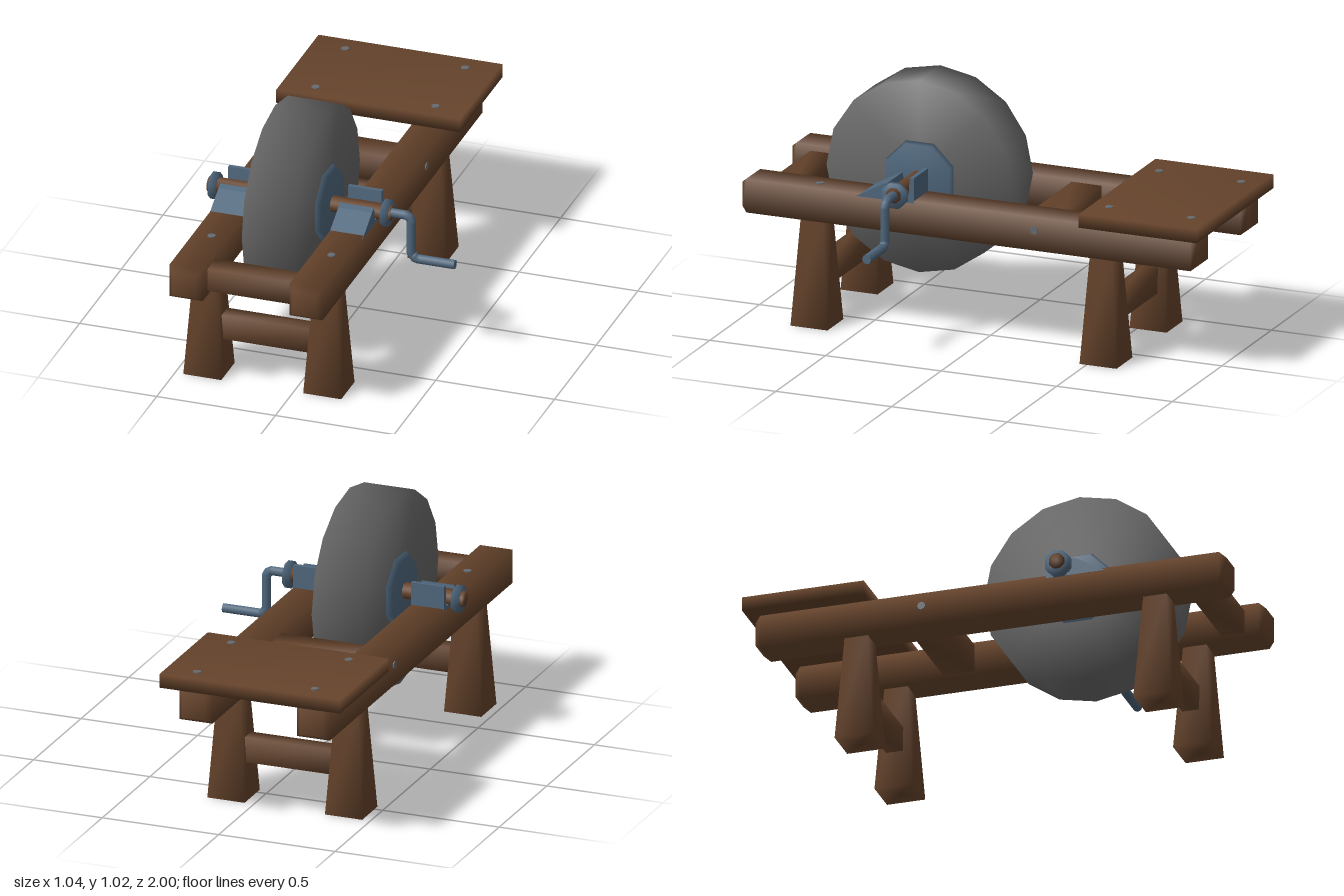
import * as THREE from 'three';
import { mergeVertices } from 'three/addons/utils/BufferGeometryUtils.js';

const mat = (name, color) => {
  const m = new THREE.MeshStandardMaterial({ color });
  m.name = name;
  return m;
};

// Share corner vertices so that shading runs softly over the edges
function soften(geo) {
  geo.deleteAttribute('uv');
  geo.deleteAttribute('normal');
  const g = mergeVertices(geo, 1e-4);
  g.computeVertexNormals();
  return g;
}

export function createModel() {
  const wood = mat('wood', 0x65432b);
  const stone = mat('stone', 0x666666);
  const metal = mat('metal', 0x4e667c);
  const steel = mat('boltSteel', 0x646a70);
  const group = new THREE.Group();

  const add = (name, geo, material, x = 0, y = 0, z = 0) => {
    const mesh = new THREE.Mesh(geo, material);
    mesh.name = name;
    mesh.position.set(x, y, z);
    group.add(mesh);
    return mesh;
  };
  const box = (name, x0, x1, y0, y1, z0, z1) =>
    add(name, soften(new THREE.BoxGeometry(x1 - x0, y1 - y0, z1 - z0)), wood,
      (x0 + x1) / 2, (y0 + y1) / 2, (z0 + z1) / 2);
  // Cylinder lying along x
  const disc = (name, x0, x1, y, z, rLeft, rRight, sides, material, turn = 0) => {
    const g = new THREE.CylinderGeometry(rRight, rLeft, x1 - x0, sides);
    g.rotateY(turn).rotateZ(-Math.PI / 2);
    return add(name, soften(g), material, (x0 + x1) / 2, y, z);
  };

  const railX = [-0.385, 0.12];
  const axleY = 0.616, axleZ = 0.315;

  // Long rails with chamfered ends
  for (const x of railX) {
    const g = new THREE.BoxGeometry(0.14, 0.14, 1.97, 1, 1, 4);
    const p = g.attributes.position;
    for (let i = 0; i < p.count; i++) {
      const z = p.getZ(i);
      if (Math.abs(z) > 0.9) {
        p.setX(i, p.getX(i) * 0.72);
        p.setY(i, p.getY(i) * 0.72);
      } else if (Math.abs(z) > 0.1) p.setZ(i, Math.sign(z) * 0.96);
    }
    add('rail', soften(g), wood, x, 0.515, 0.015);
  }

  // Tapered legs
  for (const x of railX) for (const z of [0.7, -0.55]) {
    const g = new THREE.CylinderGeometry(0.048 * Math.SQRT2, 0.08 * Math.SQRT2, 0.46, 4);
    g.rotateY(Math.PI / 4);
    add('leg', soften(g), wood, x, 0.23, z);
  }

  // Crossbars between rails and between legs
  box('frontCrossbar', -0.33, 0.07, 0.462, 0.56, 0.82, 0.915);
  box('rearCrossbar', -0.33, 0.07, 0.46, 0.575, -0.345, -0.215);
  box('frontStretcher', -0.35, 0.085, 0.155, 0.26, 0.655, 0.725);
  box('rearStretcher', -0.35, 0.085, 0.155, 0.26, -0.585, -0.515);

  // Seat plank
  box('seat', -0.52, 0.255, 0.588, 0.645, -1, -0.49);

  // Grinding wheel, hub flanges and axle
  disc('grindstone', -0.24, -0.023, axleY, 0.32, 0.4, 0.4, 16, stone);
  disc('hubRight', -0.262, -0.235, axleY, axleZ, 0.142, 0.158, 8, metal, Math.PI / 8);
  disc('hubLeft', -0.028, 0, axleY, axleZ, 0.158, 0.148, 8, metal, Math.PI / 8);
  disc('axle', -0.52, 0.25, axleY, axleZ, 0.033, 0.033, 8, wood, Math.PI / 8);
  for (const x of [-0.508, 0.216])
    disc('collar', x, x + 0.029, axleY - 0.003, axleZ, 0.055, 0.055, 8, metal, Math.PI / 8);

  // Bearing blocks: sloped wedge in front, upright plate behind
  const outline = [[0.5, 0.575], [0.385, 0.64], [0.36, 0.65], [0.35, 0.59],
    [0.275, 0.59], [0.268, 0.68], [0.25, 0.68], [0.25, 0.575]];
  const shape = new THREE.Shape(outline.map(([z, y]) => new THREE.Vector2(-z, y)));
  for (const x of railX) {
    const g = new THREE.ExtrudeGeometry(shape, { depth: 0.142, bevelEnabled: false });
    g.rotateY(Math.PI / 2);
    add('bearingBlock', g, metal, x - 0.071, 0, 0);
  }

  // Crank handle
  const bends = [[0.24, 0.617], [0.315, 0.617], [0.332, 0.6], [0.332, 0.45],
    [0.352, 0.43], [0.517, 0.43]].map(([x, y]) => new THREE.Vector3(x, y, 0.315));
  const path = new THREE.CurvePath();
  for (let i = 1; i < bends.length; i++) path.add(new THREE.LineCurve3(bends[i - 1], bends[i]));
  add('crank', soften(new THREE.TubeGeometry(path, 48, 0.0195, 8)), metal);
  const cap = new THREE.CircleGeometry(0.0195, 8);
  cap.rotateY(Math.PI / 2);
  add('crankEnd', cap, metal, 0.517, 0.43, 0.315);

  // Bolt heads on the seat, rails and rail sides
  const bolt = (x, y, z, sideways) => {
    const g = new THREE.CylinderGeometry(0.017, 0.017, 0.008, 8);
    if (sideways) g.rotateZ(Math.PI / 2);
    add('bolt', g, steel, x, y, z);
  };
  for (const x of [-0.38, 0.125]) {
    bolt(x, 0.644, -0.92);
    bolt(x, 0.644, -0.565);
    bolt(x, 0.584, 0.685);
  }
  bolt(0.19, 0.53, -0.27, true);
  bolt(-0.455, 0.53, -0.27, true);

  return group;
}
